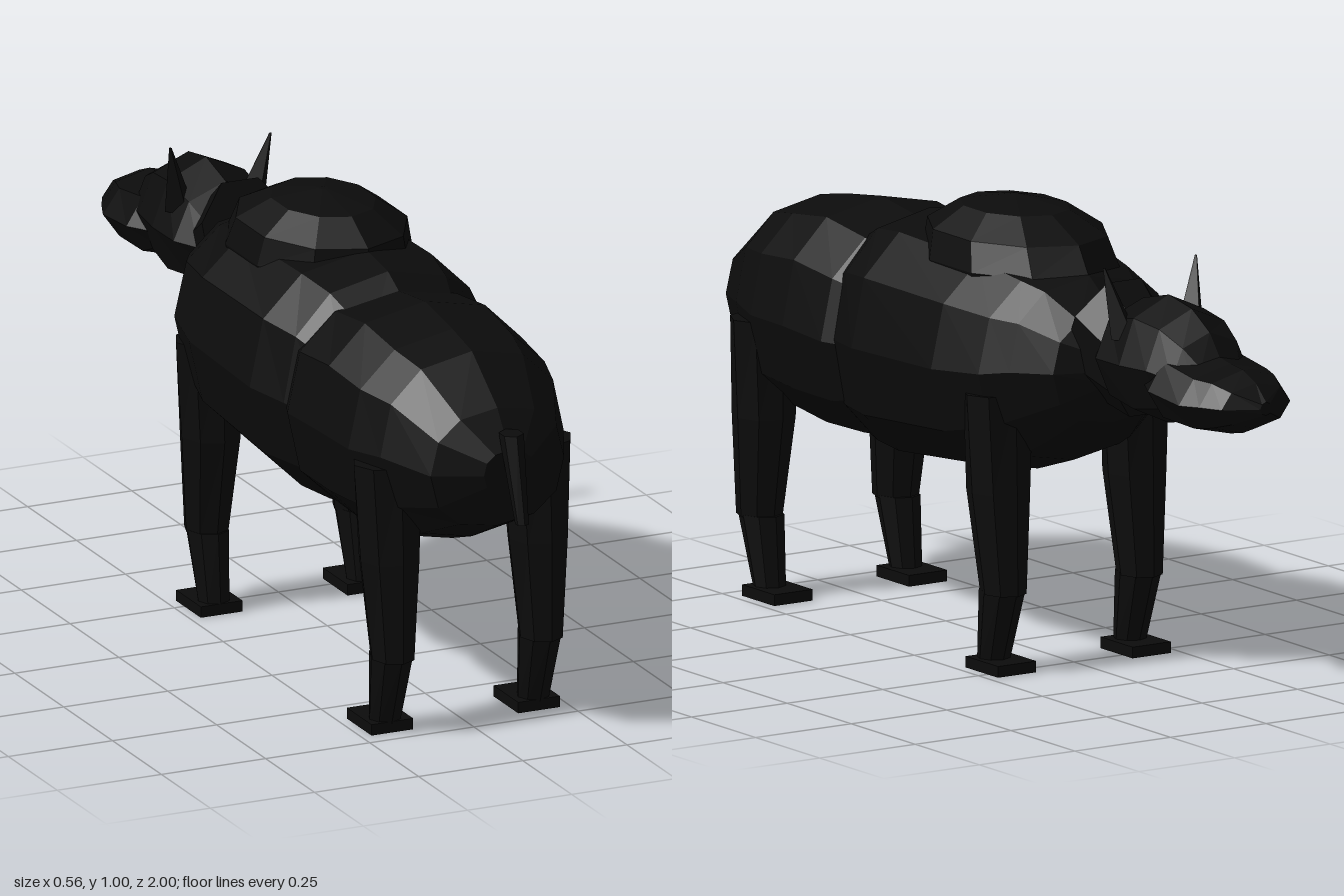
import * as THREE from 'three';

const coat = new THREE.MeshStandardMaterial({ color: 0x0c0c0c, flatShading: true });
coat.name = 'black coat';

// Closed skin over rings of { c: centre, u, v: half axes as vectors }, u x v pointing along the loft.
function loft(rings, sides, power = 1) {
  const pos = [], index = [];
  const soft = (t) => Math.sign(t) * Math.pow(Math.abs(t), power);
  for (const { c, u, v } of rings) {
    for (let j = 0; j < sides; j++) {
      const a = (j / sides) * Math.PI * 2;
      const p = c.clone().addScaledVector(u, soft(Math.cos(a))).addScaledVector(v, soft(Math.sin(a)));
      pos.push(p.x, p.y, p.z);
    }
  }
  for (let i = 0; i < rings.length - 1; i++) {
    for (let j = 0; j < sides; j++) {
      const k = (j + 1) % sides;
      const a = i * sides + j, b = i * sides + k, c = b + sides, d = a + sides;
      index.push(a, b, c, a, c, d);
    }
  }
  const last = (rings.length - 1) * sides;
  for (let j = 1; j < sides - 1; j++) {
    index.push(0, j + 1, j, last, last + j, last + j + 1);
  }
  const g = new THREE.BufferGeometry();
  g.setAttribute('position', new THREE.Float32BufferAttribute(pos, 3));
  g.setIndex(index);
  const flat = g.toNonIndexed();
  flat.computeVertexNormals();
  return flat;
}

const V = (x, y, z) => new THREE.Vector3(x, y, z);

// Sections along z: [z, top, bottom, half width]
const alongZ = (rows, sides, power) => loft(rows.map(([z, top, bottom, w]) => ({
  c: V(0, (top + bottom) / 2, z), u: V(w, 0, 0), v: V(0, (top - bottom) / 2, 0),
})), sides, power);

// Sections along y: [y, x, half width, z, half depth]
const alongY = (rows, sides, power) => loft(rows.map(([y, x, w, z, d]) => ({
  c: V(x, y, z), u: V(0, 0, d), v: V(w, 0, 0),
})), sides, power);

export function createModel() {
  const model = new THREE.Group();
  model.name = 'animal';
  const add = (name, geometry, parent = model) => {
    const mesh = new THREE.Mesh(geometry, coat);
    mesh.name = name;
    parent.add(mesh);
    return mesh;
  };

  // Trunk
  add('chest', alongZ([
    [-0.46, 0.74, 0.64, 0.05], [-0.40, 0.81, 0.56, 0.155], [-0.31, 0.87, 0.49, 0.21],
    [-0.25, 0.89, 0.45, 0.25], [-0.11, 0.915, 0.405, 0.28], [0.2, 0.925, 0.375, 0.28],
    [0.31, 0.91, 0.378, 0.25], [0.45, 0.84, 0.40, 0.19],
  ], 12, 0.85));
  add('hindquarters', alongZ([
    [0.2, 0.82, 0.44, 0.2], [0.35, 0.88, 0.39, 0.26], [0.5, 0.9, 0.385, 0.26],
    [0.64, 0.88, 0.40, 0.25], [0.74, 0.86, 0.435, 0.22], [0.87, 0.77, 0.50, 0.16],
    [0.93, 0.69, 0.59, 0.06],
  ], 12, 0.85));
  add('shoulderHump', alongY([
    [0.78, 0, 0.17, -0.045, 0.22], [0.865, 0, 0.195, -0.045, 0.265], [0.93, 0, 0.18, -0.03, 0.24],
    [0.978, 0, 0.11, -0.02, 0.145], [1.0, 0, 0.01, -0.02, 0.01],
  ], 10));

  // Neck, sloping down to the head
  const neck = add('neck', new THREE.CylinderGeometry(0.105, 0.148, 0.18, 8));
  neck.geometry.rotateY(Math.PI / 8);
  neck.scale.x = 0.78;
  neck.rotation.x = -Math.PI / 2 - 0.43;
  neck.position.set(0, 0.723, -0.472);

  // Head
  add('skull', alongZ([
    [-0.82, 0.78, 0.66, 0.07], [-0.78, 0.83, 0.64, 0.10], [-0.71, 0.87, 0.62, 0.12],
    [-0.62, 0.885, 0.60, 0.13], [-0.52, 0.86, 0.62, 0.125], [-0.47, 0.80, 0.67, 0.09],
  ], 8));
  add('snout', alongZ([
    [-1.0, 0.715, 0.685, 0.015], [-0.96, 0.75, 0.65, 0.09], [-0.91, 0.77, 0.63, 0.115],
    [-0.86, 0.775, 0.62, 0.135], [-0.74, 0.795, 0.62, 0.135], [-0.69, 0.77, 0.65, 0.11],
  ], 8));
  for (const s of [1, -1]) {
    add(s > 0 ? 'leftEar' : 'rightEar', alongY([
      [0.79, s * 0.085, 0.035, -0.575, 0.04], [0.945, s * 0.12, 0.003, -0.547, 0.003],
    ], 4));
  }

  // Legs: thigh, shin and foot on each side
  const legs = [
    { name: 'frontLeg', thigh: [-0.22, -0.22, -0.24], shin: [-0.235, -0.202], foot: -0.228 },
    { name: 'hindLeg', thigh: [0.69, 0.695, 0.712], shin: [0.705, 0.672], foot: 0.645 },
  ];
  for (const { name, thigh, shin, foot } of legs) {
    for (const s of [1, -1]) {
      const leg = new THREE.Group();
      leg.name = (s > 0 ? 'left ' : 'right ') + name;
      const x = s * 0.178;
      add('thigh', alongY([
        [0.175, x, 0.048, thigh[2], 0.057], [0.4, x, 0.068, thigh[1], 0.075], [0.62, x, 0.082, thigh[0], 0.07],
      ], 8), leg);
      add('shin', alongY([
        [0.02, x, 0.036, shin[1], 0.037], [0.18, x, 0.047, shin[0], 0.058],
      ], 8), leg);
      add('foot', new THREE.BoxGeometry(0.1, 0.025, 0.126).translate(s * 0.176, 0.0125, foot), leg);
      model.add(leg);
    }
  }

  // Tail
  add('tail', alongY([
    [0.538, 0.005, 0.015, 0.985, 0.015], [0.73, 0.005, 0.027, 0.93, 0.03],
  ], 6));

  return model;
}
